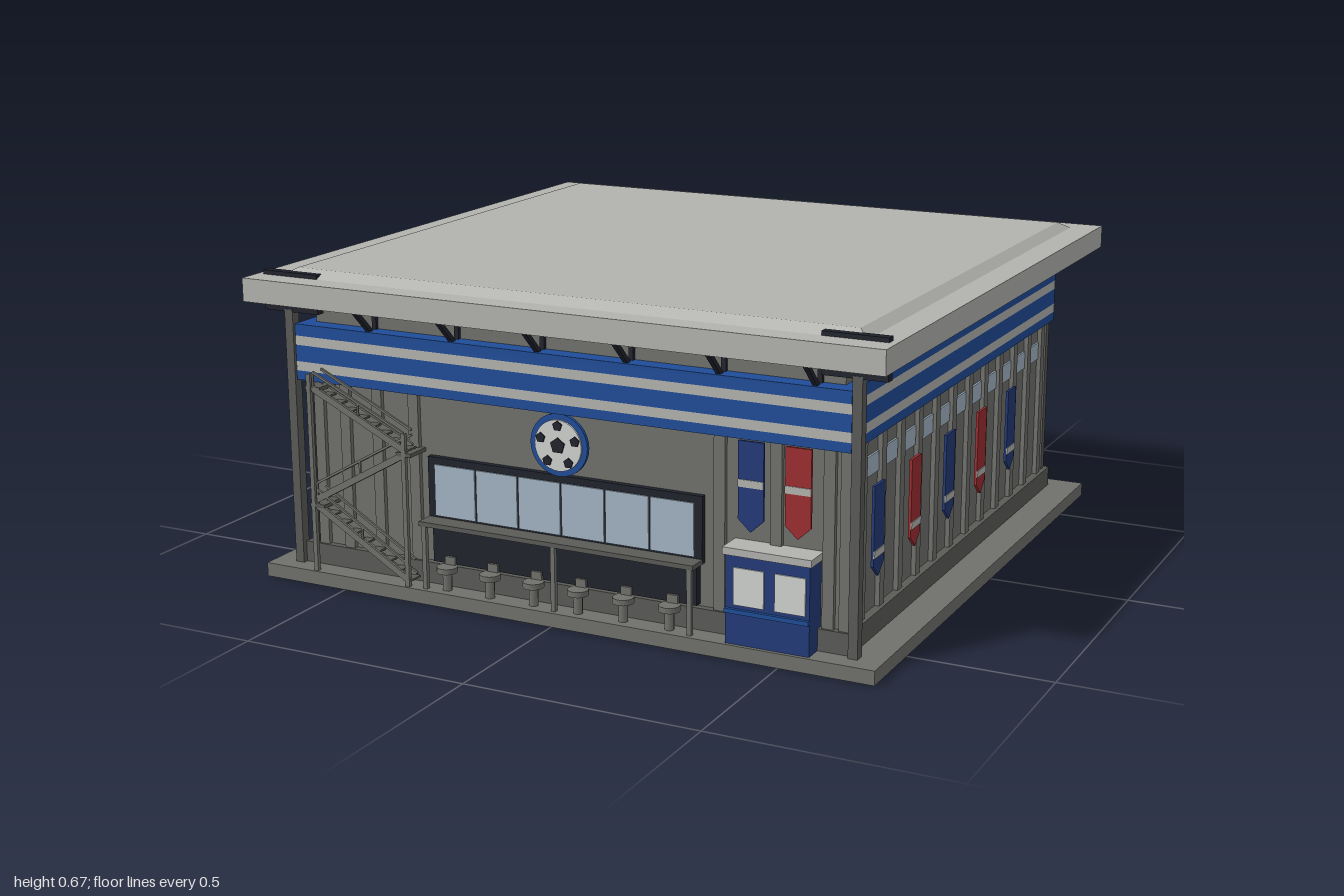
import * as THREE from 'three';

const mat = (name, color) => Object.assign(new THREE.MeshStandardMaterial({ color }), { name });

export function createModel() {
  const M = {
    wall: mat('wall grey', 0x70716c), trim: mat('trim grey', 0x5a5b57), pale: mat('pale grey', 0xb2b2af),
    blue: mat('band blue', 0x1f4c98), navy: mat('navy', 0x233a78), red: mat('red', 0x9c2c30),
    glass: mat('glass', 0xa3b4c4), dark: mat('near black', 0x20222c), white: mat('white', 0xd0d2d0),
  };
  const model = new THREE.Group();
  model.name = 'clubhouse';

  const add = (parent, name, geo, m, x = 0, y = 0, z = 0) => {
    const mesh = new THREE.Mesh(geo, m);
    mesh.name = name;
    mesh.position.set(x, y, z);
    parent.add(mesh);
    return mesh;
  };
  // box given by its minimum and maximum on each axis
  const box = (parent, name, m, x0, x1, y0, y1, z0, z1) =>
    add(parent, name, new THREE.BoxGeometry(x1 - x0, y1 - y0, z1 - z0), m,
      (x0 + x1) / 2, (y0 + y1) / 2, (z0 + z1) / 2);
  // square bar between two points
  const bar = (parent, name, m, a, b, w, d = w) => {
    const p = new THREE.Vector3(...a), q = new THREE.Vector3(...b);
    const mesh = add(parent, name, new THREE.BoxGeometry(w, d, p.distanceTo(q)), m);
    mesh.position.copy(p).add(q).multiplyScalar(0.5);
    mesh.lookAt(q);
    return mesh;
  };
  // hanging pennant with a pointed foot and a pale stripe
  const banner = (parent, m, x, top, bottom, stripe, z) => {
    const w = 0.027;
    const s = new THREE.Shape([[-w, top], [-w, bottom + 0.025], [0, bottom], [w, bottom + 0.025], [w, top]]
      .map(p => new THREE.Vector2(...p)));
    add(parent, 'banner', new THREE.ExtrudeGeometry(s, { depth: 0.006, bevelEnabled: false }), m, x, 0, z);
    box(parent, 'bannerStripe', M.pale, x - w, x + w, stripe, stripe + 0.015, z + 0.005, z + 0.008);
  };

  // main masses
  box(model, 'base', M.wall, -0.7, 0.7, 0, 0.03, -0.668, 0.668);
  box(model, 'plinth', M.trim, -0.63, 0.63, 0.03, 0.075, -0.62, 0.62);
  box(model, 'walls', M.wall, -0.612, 0.612, 0.03, 0.55, -0.605, 0.605);
  box(model, 'clerestory', M.wall, -0.6, 0.6, 0.54, 0.61, -0.59, 0.59);
  [[0.435, 0.455], [0.455, 0.475], [0.475, 0.51], [0.51, 0.53], [0.53, 0.555]].forEach(([a, b], i) =>
    box(model, 'band', i % 2 ? M.pale : M.blue, -0.628, 0.628, a, b, -0.618, 0.628));

  // roof slab with a shallow raised panel
  box(model, 'roof', M.pale, -0.715, 0.715, 0.605, 0.655, -0.684, 0.684);
  const panel = new THREE.BoxGeometry(1.31, 0.015, 1.26);
  const pos = panel.attributes.position;
  for (let i = 0; i < pos.count; i++)
    if (pos.getY(i) > 0) pos.setXYZ(i, pos.getX(i) * 0.965, pos.getY(i), pos.getZ(i) * 0.955);
  panel.computeVertexNormals();
  add(model, 'roofPanel', panel, M.pale, 0, 0.6625, 0);

  // corner columns and floodlight bars at the front
  for (const s of [-1, 1]) {
    const c = s * 0.64, l = s * 0.633;
    box(model, 'column', M.trim, c - 0.01, c + 0.01, 0.03, 0.585, 0.61, 0.632);
    box(model, 'upperLights', M.dark, l - 0.067, l + 0.067, 0.655, 0.664, 0.611, 0.631);
    box(model, 'lowerLights', M.dark, l - 0.067, l + 0.067, 0.58, 0.602, 0.611, 0.631);
  }

  // side and back walls share ribs, high windows and banners
  const wall = (name, angle, face, half, windows, firstWindow, banners, firstBanner, step, dir) => {
    const g = new THREE.Group();
    g.name = name;
    g.rotation.y = angle;
    model.add(g);
    for (let i = 0; i < windows; i++) {
      const u = dir * (firstWindow + i * 0.1);
      box(g, 'highWindow', M.glass, u - 0.035, u + 0.035, 0.355, 0.395, face, face + 0.004);
    }
    for (let i = 0; i <= windows; i++) {
      const u = dir * (firstWindow - 0.05 + i * 0.1);
      box(g, 'rib', M.wall, u - 0.012, u + 0.012, 0.075, 0.44, face, face + 0.01);
    }
    for (let i = 0; i < banners; i++)
      banner(g, i % 2 ? M.red : M.navy, dir * (firstBanner + i * step), 0.337, 0.148, 0.19, face + 0.011);
    for (const s of [-1, 1])
      box(g, 'cornerPost', M.trim, s * half - 0.01, s * half + 0.01, 0.075, 0.44, face - 0.01, face + 0.008);
  };
  wall('rightWall', Math.PI / 2, 0.612, 0.6, 11, -0.49, 5, -0.478, 0.2, 1);
  wall('leftWall', -Math.PI / 2, 0.612, 0.6, 11, -0.49, 5, -0.478, 0.2, -1);
  wall('backWall', Math.PI, 0.605, 0.605, 12, -0.55, 6, -0.49, 0.196, 1);

  // clerestory mullions and roof brackets on all four sides
  for (let i = 0; i < 6; i++) {
    const x = -0.45 + i * 0.2, z = 0.523 - i * 0.2;
    for (const s of [-1, 1]) {
      box(model, 'mullion', M.dark, x - 0.005, x + 0.005, 0.555, 0.605, s * 0.592 - 0.006, s * 0.592 + 0.006);
      box(model, 'mullion', M.dark, s * 0.602 - 0.006, s * 0.602 + 0.006, 0.555, 0.605, z - 0.005, z + 0.005);
      bar(model, 'bracket', M.dark, [x, 0.553, s * 0.612], [x, 0.608, s * 0.668], 0.01);
      bar(model, 'bracket', M.dark, [s * 0.622, 0.553, z], [s * 0.678, 0.608, z], 0.01);
    }
  }

  // front wall ribs
  const front = new THREE.Group();
  front.name = 'frontWall';
  model.add(front);
  for (const x of [-0.585, -0.52, -0.44, -0.35, 0.35, 0.47, 0.58, 0.615])
    box(front, 'rib', M.wall, x - 0.012, x + 0.012, 0.075, 0.44, 0.605, 0.615);

  // long window
  box(front, 'windowFrame', M.dark, -0.315, 0.315, 0.168, 0.305, 0.6, 0.618);
  for (let i = 0; i < 6; i++) {
    const x = -0.25 + i * 0.1;
    box(front, 'windowPane', M.glass, x - 0.048, x + 0.048, 0.18, 0.29, 0.615, 0.621);
  }

  // team shelter with stools
  box(front, 'shelterBack', M.dark, -0.305, 0.305, 0.08, 0.17, 0.605, 0.622);
  box(front, 'shelterRoof', M.trim, -0.315, 0.315, 0.166, 0.176, 0.605, 0.66);
  for (const x of [-0.305, 0, 0.305])
    box(front, 'shelterPost', M.wall, x - 0.005, x + 0.005, 0.03, 0.168, 0.648, 0.658);
  for (let i = 0; i < 6; i++) {
    const x = -0.26 + i * 0.103;
    add(front, 'stoolSeat', new THREE.CylinderGeometry(0.022, 0.022, 0.012, 12), M.wall, x, 0.075, 0.642);
    add(front, 'stoolLeg', new THREE.CylinderGeometry(0.01, 0.01, 0.042, 8), M.wall, x, 0.05, 0.642);
    box(front, 'stoolBack', M.wall, x - 0.012, x + 0.012, 0.08, 0.098, 0.625, 0.631);
  }

  // round football emblem
  const disc = (name, m, r, sides, x, y, z, turn = 0) => {
    const d = add(front, name, new THREE.CylinderGeometry(r, r, 0.008, sides), m, x, y, z);
    d.rotation.set(Math.PI / 2, turn, 0);
  };
  disc('emblemRing', M.blue, 0.065, 32, 0, 0.37, 0.62);
  disc('emblemBall', M.white, 0.053, 32, 0, 0.37, 0.624);
  disc('ballPatch', M.dark, 0.017, 5, 0, 0.37, 0.627, Math.PI);
  for (let i = 0; i < 5; i++) {
    const a = Math.PI / 2 + i * Math.PI * 0.4;
    disc('ballPatch', M.dark, 0.011, 5, Math.cos(a) * 0.041, 0.37 + Math.sin(a) * 0.041, 0.627, a + Math.PI / 2);
  }

  // front banners
  banner(front, M.navy, 0.42, 0.43, 0.248, 0.338, 0.616);
  banner(front, M.red, 0.519, 0.43, 0.248, 0.338, 0.616);

  // ticket booth
  box(front, 'booth', M.navy, 0.385, 0.562, 0.03, 0.212, 0.605, 0.66);
  box(front, 'boothTop', M.pale, 0.38, 0.567, 0.212, 0.227, 0.605, 0.665);
  for (const x of [0.435, 0.522])
    box(front, 'boothWindow', M.white, x - 0.032, x + 0.032, 0.112, 0.188, 0.658, 0.663);
  box(front, 'boothCounter', M.blue, 0.385, 0.562, 0.095, 0.104, 0.655, 0.667);

  // zigzag fire stair: stringers, treads, handrails and landings
  const flights = [[-0.345, 0.045, -0.565, 0.175], [-0.565, 0.19, -0.345, 0.315], [-0.345, 0.325, -0.565, 0.43]];
  for (const [x0, y0, x1, y1] of flights) {
    for (const z of [0.63, 0.66]) {
      bar(front, 'stringer', M.wall, [x0, y0, z], [x1, y1, z], 0.006, 0.014);
      bar(front, 'handrail', M.wall, [x0, y0 + 0.035, z], [x1, y1 + 0.035, z], 0.005);
    }
    for (let i = 0; i <= 8; i++) {
      const x = x0 + (x1 - x0) * i / 8, y = y0 + (y1 - y0) * i / 8;
      box(front, 'tread', M.trim, x - 0.011, x + 0.011, y - 0.002, y + 0.002, 0.63, 0.66);
      if (i % 4 === 0) box(front, 'baluster', M.wall, x - 0.002, x + 0.002, y, y + 0.035, 0.658, 0.662);
    }
    box(front, 'landing', M.trim, x1 - 0.018, x1 + 0.018, y1 - 0.004, y1 + 0.004, 0.606, 0.663);
  }
  for (const [x, top] of [[-0.575, 0.46], [-0.345, 0.36]])
    box(front, 'stairPost', M.wall, x - 0.005, x + 0.005, 0.03, top, 0.655, 0.664);

  return model;
}
